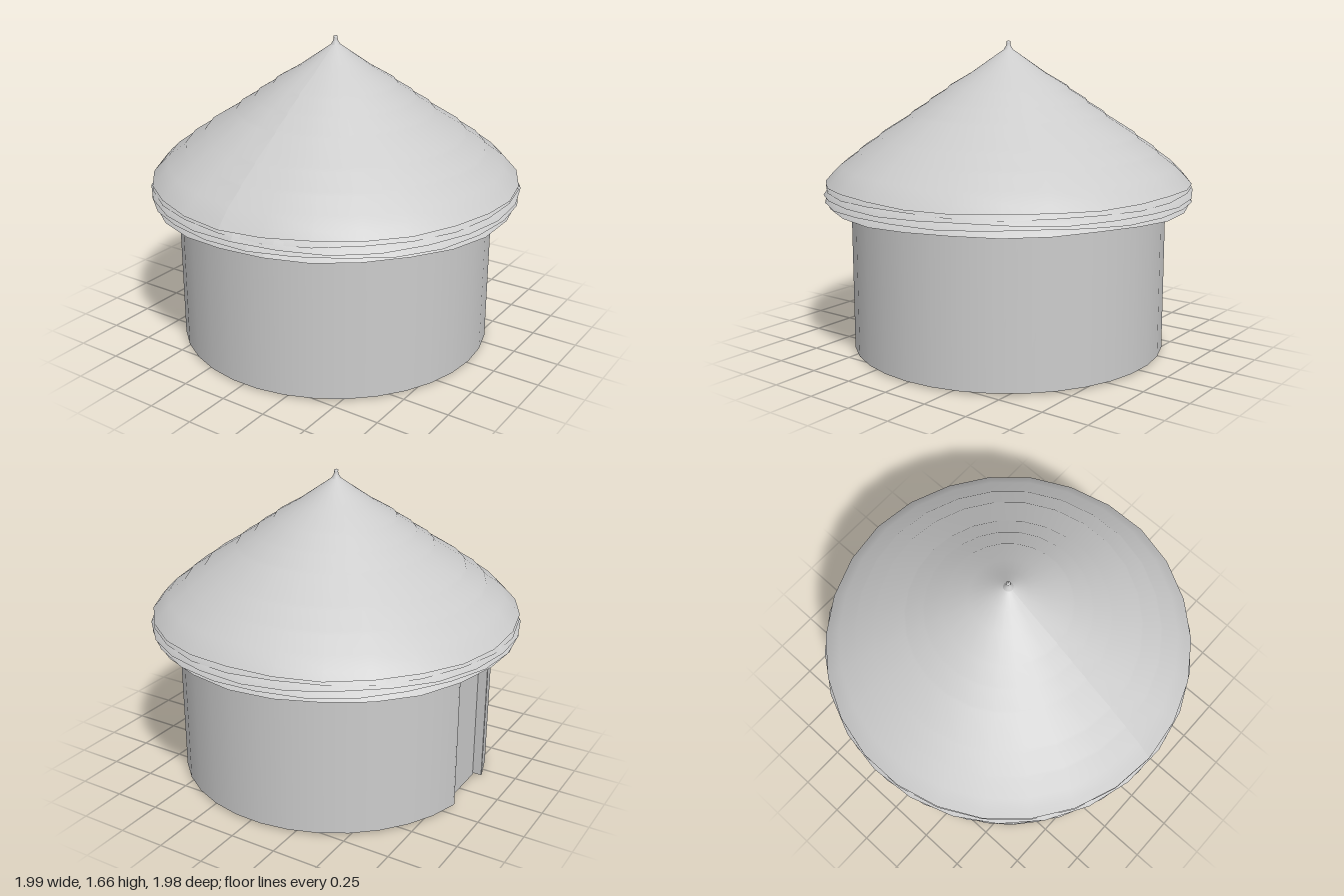
import * as THREE from 'three';

const material = new THREE.MeshStandardMaterial({ color: 0xcccccc, side: THREE.DoubleSide });

function add(parent, name, geometry, x = 0, y = 0, z = 0) {
  const mesh = new THREE.Mesh(geometry, material);
  mesh.name = name;
  mesh.position.set(x, y, z);
  parent.add(mesh);
  return mesh;
}

// Revolved shell whose rings waver slightly, like hand-laid thatch
function thatch(points, sides, phase) {
  const geometry = new THREE.LatheGeometry(points.map(([r, y]) => new THREE.Vector2(r, y)), sides);
  const pos = geometry.attributes.position;
  for (let i = 0; i < pos.count; i++) {
    const x = pos.getX(i), z = pos.getZ(i), r = Math.hypot(x, z);
    const a = Math.atan2(z, x);
    pos.setY(i, pos.getY(i) + 0.005 * r * r * (Math.sin(3 * a + phase) + Math.sin(7 * a + 2 * phase)));
  }
  geometry.computeVertexNormals();
  return geometry;
}

export function createModel() {
  const hut = new THREE.Group();
  hut.name = 'roundHut';

  const R = 0.85, base = 0.01, top = 0.95, doorTop = 0.73;
  const half = 0.215; // half angle of the doorway, which faces -x
  const west = Math.PI * 1.5;

  // Thin round wall with a doorway, and the wall strip above it
  add(hut, 'wall', new THREE.CylinderGeometry(R, R, top - base, 32, 1, true, west + half, Math.PI * 2 - 2 * half),
    0, (top + base) / 2, 0);
  add(hut, 'wallAboveDoor', new THREE.CylinderGeometry(R, R, top - doorTop, 4, 1, true, west - half, 2 * half),
    0, (top + doorTop) / 2, 0);

  // Recessed door with reveals joining it to the wall
  add(hut, 'door', new THREE.BoxGeometry(0.03, doorTop, 0.36), -0.765, doorTop / 2, 0);
  for (const side of [-1, 1]) {
    add(hut, 'doorJamb', new THREE.BoxGeometry(0.06, doorTop - base, 0.012), -0.80, (doorTop + base) / 2, side * 0.177);
  }
  add(hut, 'doorLintel', new THREE.BoxGeometry(0.07, 0.012, 0.36), -0.805, doorTop, 0);

  // Main roof slope, laid in shallow overlapping courses
  const courses = [
    [0.985, 0.915], [0.95, 0.955], [0.90, 1.005], [0.81, 1.07], [0.80, 1.085], [0.70, 1.15], [0.69, 1.165],
    [0.53, 1.265], [0.52, 1.28], [0.43, 1.335], [0.42, 1.35], [0.33, 1.405], [0.32, 1.42],
    [0.20, 1.49], [0.10, 1.56], [0.05, 1.595], [0.025, 1.612]
  ];
  add(hut, 'roof', thatch(courses, 26, 0));

  // Pointed knot at the peak
  const knot = [[0.028, 1.608], [0.014, 1.63], [0.01, 1.645], [0.011, 1.655], [0, 1.66]];
  add(hut, 'roofKnot', new THREE.LatheGeometry(knot.map(([r, y]) => new THREE.Vector2(r, y)), 12));

  // Ragged stacked layers along the eaves, hollow underneath
  const rims = [[0.985, 0.89], [0.995, 0.862], [0.99, 0.833], [0.975, 0.803]];
  rims.forEach(([r, y], i) => {
    const layer = thatch([[r, y], [r - 0.025, y + 0.035], [0.84, y + 0.12]], 26, i + 1);
    add(hut, 'eaveLayer', layer).rotation.y = i * 0.08;
  });

  return hut;
}
